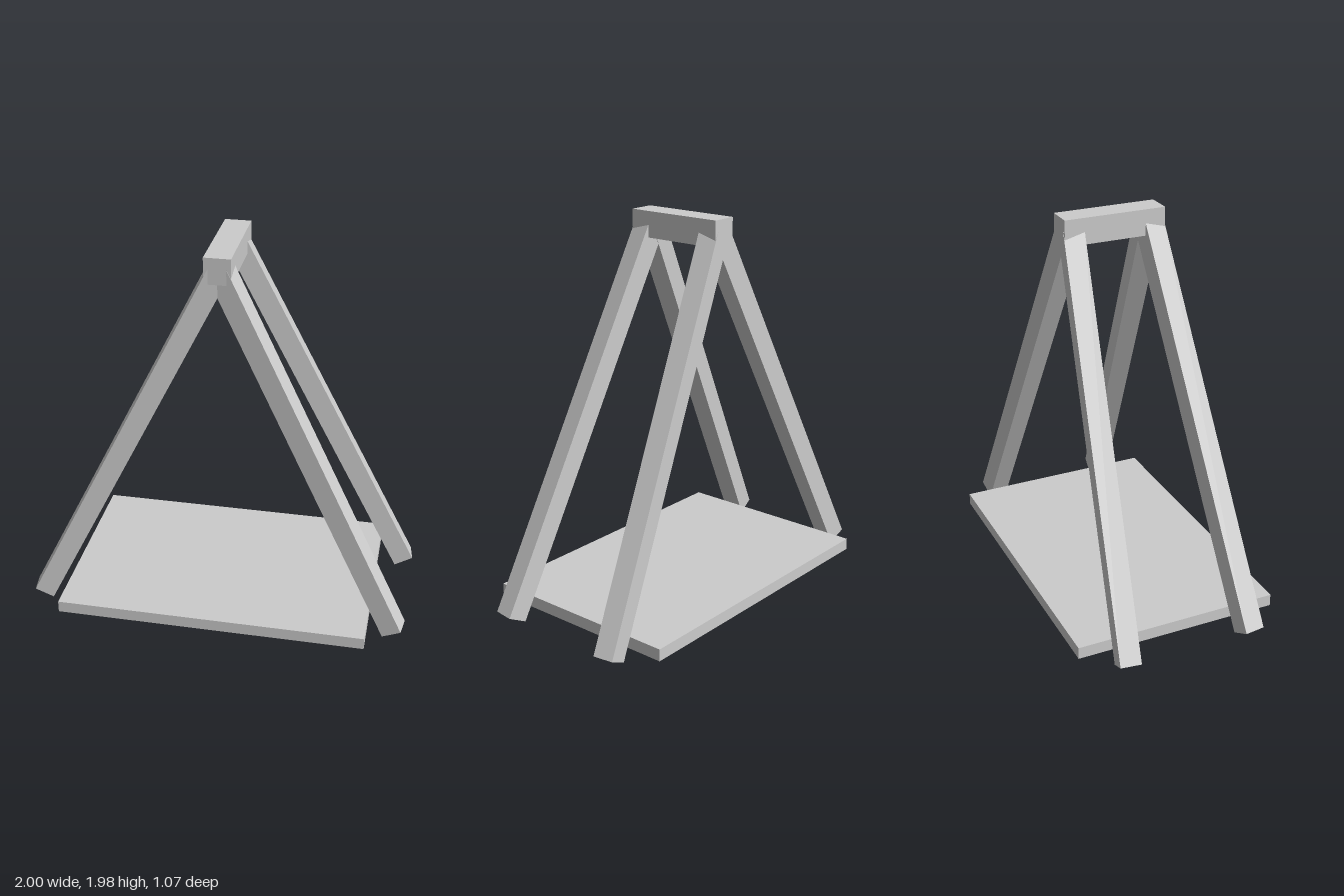
import * as THREE from 'three';

const grey = new THREE.MeshStandardMaterial({ color: 0xcccccc, side: THREE.DoubleSide });
grey.name = 'light grey';

function box(name, w, h, d, y) {
  const mesh = new THREE.Mesh(new THREE.BoxGeometry(w, h, d), grey);
  mesh.name = name;
  mesh.position.y = y;
  return mesh;
}

// Square beam between two points, two of its sides staying vertical
function beam(name, foot, top, size) {
  const along = top.clone().sub(foot);
  const mesh = box(name, size, along.length(), size, 0);
  const dir = along.normalize();
  const side = new THREE.Vector3().crossVectors(dir, new THREE.Vector3(0, 1, 0)).normalize();
  const out = new THREE.Vector3().crossVectors(dir, side);
  mesh.quaternion.setFromRotationMatrix(new THREE.Matrix4().makeBasis(out, dir, side.negate()));
  mesh.position.copy(foot).add(top).multiplyScalar(0.5);
  // keep the basis right-handed
  if (out.clone().cross(dir).dot(side) < 0) {
    mesh.quaternion.setFromRotationMatrix(new THREE.Matrix4().makeBasis(out, dir, side.negate()));
  }
  return mesh;
}

export function createModel() {
  const model = new THREE.Group();
  model.name = 'swingFrame';

  // Ridge bar joining the legs
  model.add(box('ridgeBar', 0.134, 0.134, 0.534, 1.918));

  // Four splayed legs
  for (const x of [1, -1]) {
    for (const z of [1, -1]) {
      const name = (z > 0 ? 'front' : 'back') + (x > 0 ? 'Left' : 'Right') + 'Leg';
      model.add(beam(name,
        new THREE.Vector3(0.945 * x, 0.025, 0.335 * z),
        new THREE.Vector3(0, 1.915, 0.207 * z), 0.107));
    }
  }

  // Platform: a shallow tray turned over, open underneath
  const platform = box('platform', 1.62, 0.063, 1.074, 0.061);
  const index = Array.from(platform.geometry.index.array);
  index.splice(18, 6);
  platform.geometry.setIndex(index);
  platform.geometry.clearGroups();
  model.add(platform);

  return model;
}
